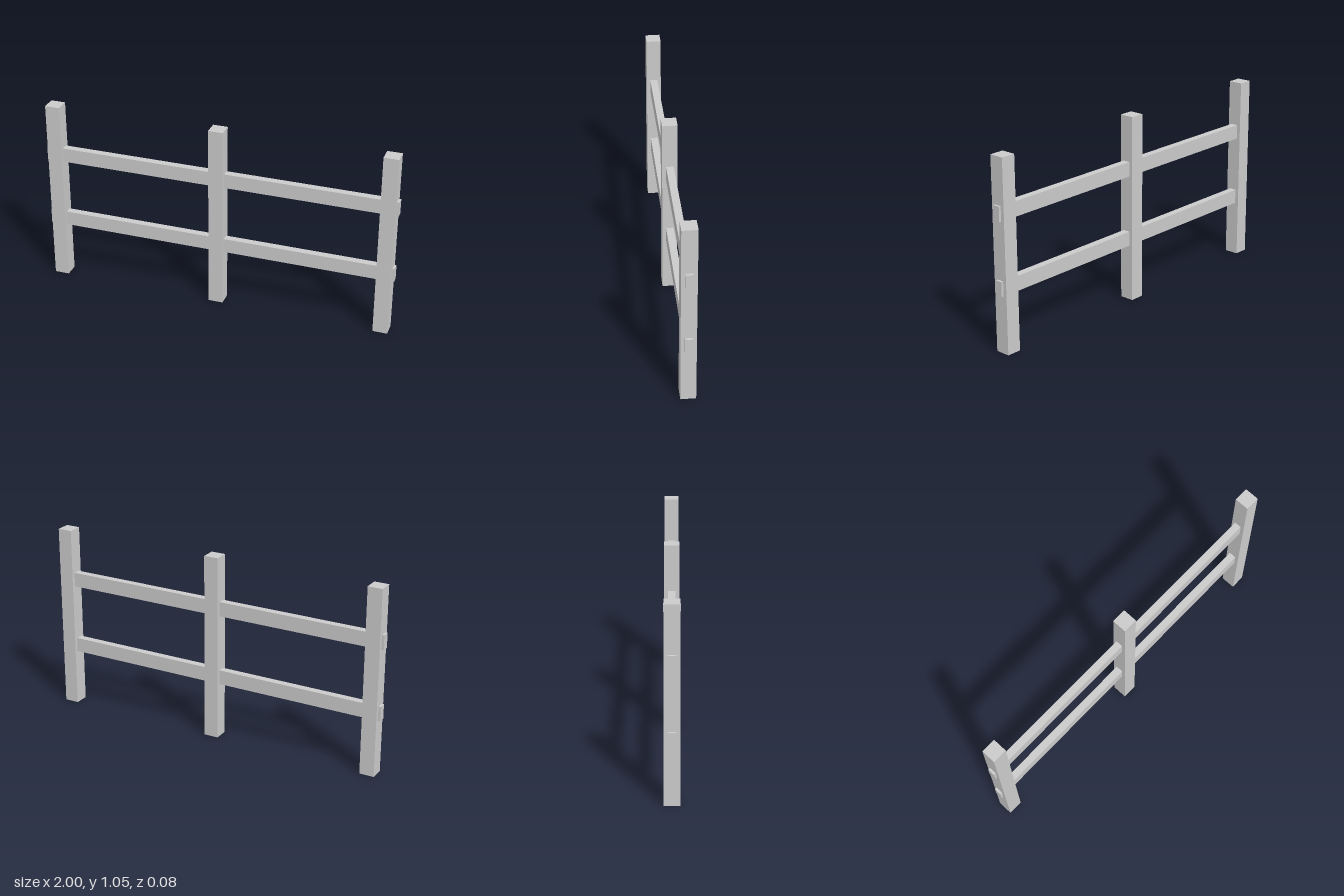
import * as THREE from 'three';

const POST = { width: 0.082, height: 1.055, spacing: 0.946 };
const RAIL = { length: 2, height: 0.082, depth: 0.041 };

export function createModel() {
  const fence = new THREE.Group();
  fence.name = 'fence';
  const material = new THREE.MeshStandardMaterial({ color: 0xcccccc, flatShading: true });

  const addBox = (name, size, position) => {
    const mesh = new THREE.Mesh(new THREE.BoxGeometry(...size), material);
    mesh.name = name;
    mesh.position.set(...position);
    fence.add(mesh);
  };

  // Three square upright posts
  ['rightPost', 'middlePost', 'leftPost'].forEach((name, i) => {
    addBox(name, [POST.width, POST.height, POST.width], [(i - 1) * POST.spacing, POST.height / 2, 0]);
  });

  // Two rails run through the posts, their ends just proud of the outer faces
  [['lowerRail', 0.36], ['upperRail', 0.76]].forEach(([name, y]) => {
    addBox(name, [RAIL.length, RAIL.height, RAIL.depth], [0, y, 0]);
  });

  return fence;
}
